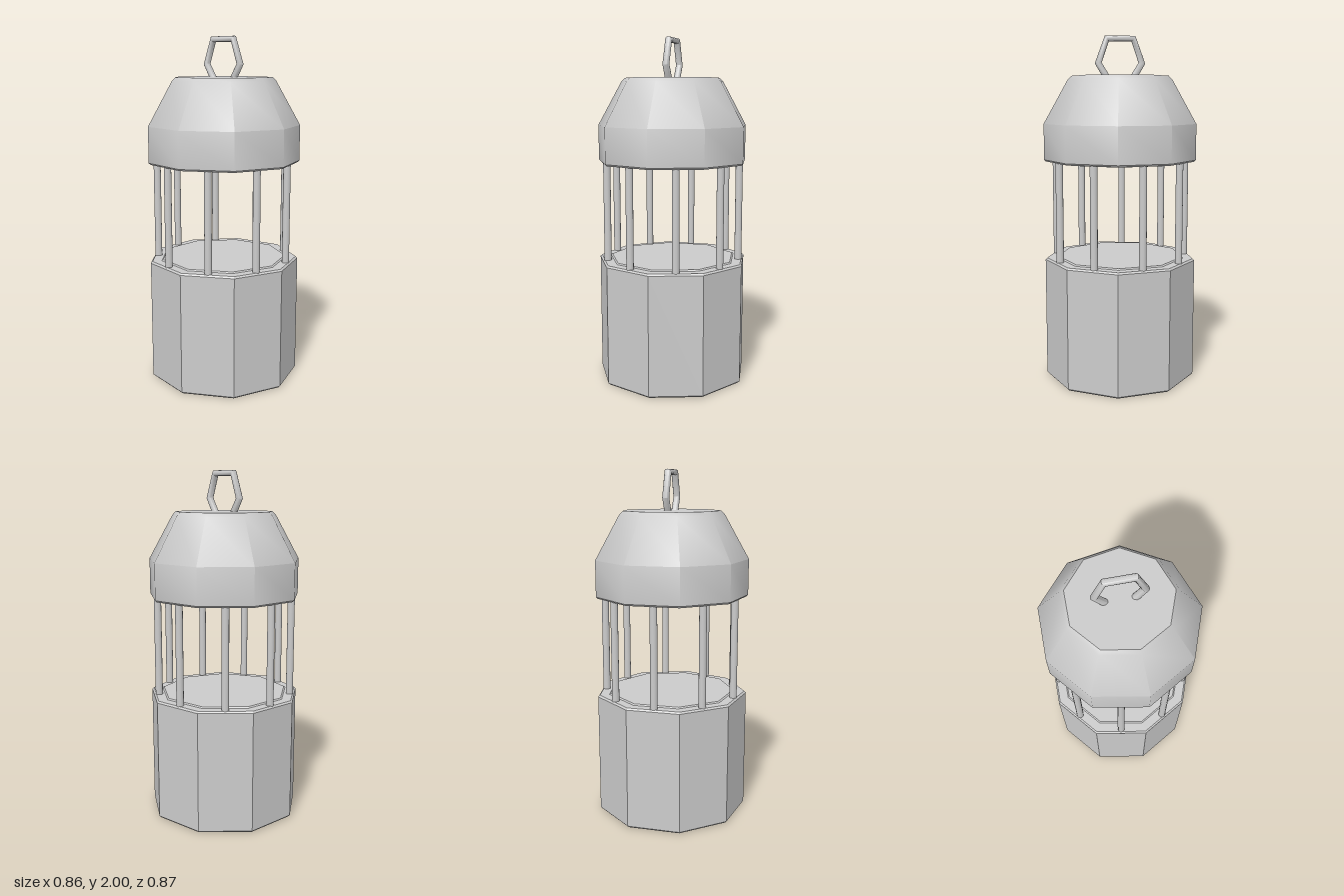
import * as THREE from 'three';
import { toCreasedNormals } from 'three/addons/utils/BufferGeometryUtils.js';

const SIDES = 9;
const R = 0.444;

const smooth = new THREE.MeshStandardMaterial({ color: 0xcccccc });
const faceted = new THREE.MeshStandardMaterial({ color: 0xcccccc, flatShading: true });

// Nine-sided turned solid with one corner pointing to +x
function turned(profile) {
  const points = profile.map(([r, y]) => new THREE.Vector2(r, y));
  return new THREE.LatheGeometry(points, SIDES, Math.PI / 2);
}

// Round bar swept along an angular path in the xy plane, mitred at each corner
function bentBar(path, radius, sides) {
  const pts = path.map(([x, y]) => new THREE.Vector3(x, y, 0));
  const positions = [];
  const index = [];
  pts.forEach((p, i) => {
    const before = pts[Math.max(i - 1, 0)];
    const after = pts[Math.min(i + 1, pts.length - 1)];
    const dirIn = p.clone().sub(before).normalize();
    const dirOut = after.clone().sub(p).normalize();
    const t = dirIn.add(dirOut).normalize();
    for (let k = 0; k < sides; k++) {
      const a = (k / sides) * Math.PI * 2;
      const c = Math.cos(a) * radius;
      positions.push(p.x - t.y * c, p.y + t.x * c, Math.sin(a) * radius);
      if (i === 0) continue;
      const n = (k + 1) % sides;
      const lo = (i - 1) * sides;
      const hi = i * sides;
      index.push(lo + k, lo + n, hi + k, lo + n, hi + n, hi + k);
    }
  });
  const geo = new THREE.BufferGeometry();
  geo.setAttribute('position', new THREE.Float32BufferAttribute(positions, 3));
  geo.setIndex(index);
  geo.computeVertexNormals();
  return toCreasedNormals(geo, 0.9);
}

export function createModel() {
  const model = new THREE.Group();
  model.name = 'lantern';
  const add = (name, geometry, material, parent = model) => {
    const mesh = new THREE.Mesh(geometry, material);
    mesh.name = name;
    parent.add(mesh);
    return mesh;
  };

  // Base drum with bevelled rims and a slightly raised floor
  add('base', turned([
    [0, 0], [R - 0.01, 0], [R, 0.01], [R, 0.705], [R - 0.01, 0.715],
    [0.378, 0.715], [0.37, 0.722], [0, 0.722],
  ]), faceted);

  // Roof: short wall, sloping shoulder, flat top, raised ceiling underneath
  add('roof', toCreasedNormals(turned([
    [0, 1.277], [0.37, 1.277], [0.378, 1.284], [R - 0.01, 1.284], [R, 1.294],
    [R, 1.5], [0.303, 1.751], [0.282, 1.772], [0, 1.772],
  ]), 0.71), smooth);

  // Rods standing at the middle of each side
  const rods = new THREE.Group();
  rods.name = 'rods';
  model.add(rods);
  const rodGeometry = new THREE.CylinderGeometry(0.021, 0.021, 0.59, 12);
  for (let i = 0; i < SIDES; i++) {
    const a = ((i + 0.5) / SIDES) * Math.PI * 2;
    const rod = add('rod', rodGeometry, smooth, rods);
    rod.position.set(Math.cos(a) * 0.39, 1.0, Math.sin(a) * 0.39);
  }

  // Angular carrying loop
  const half = [[0.066, 1.745], [0.127, 1.845], [0.077, 1.983]];
  const mirrored = half.map(([x, y]) => [-x, y]).reverse();
  add('handle', bentBar([...half, ...mirrored], 0.02, 12), smooth);

  // The nine-sided outline is centred by its bounds
  model.position.x = -0.0135;
  const root = new THREE.Group();
  root.add(model);
  return root;
}
